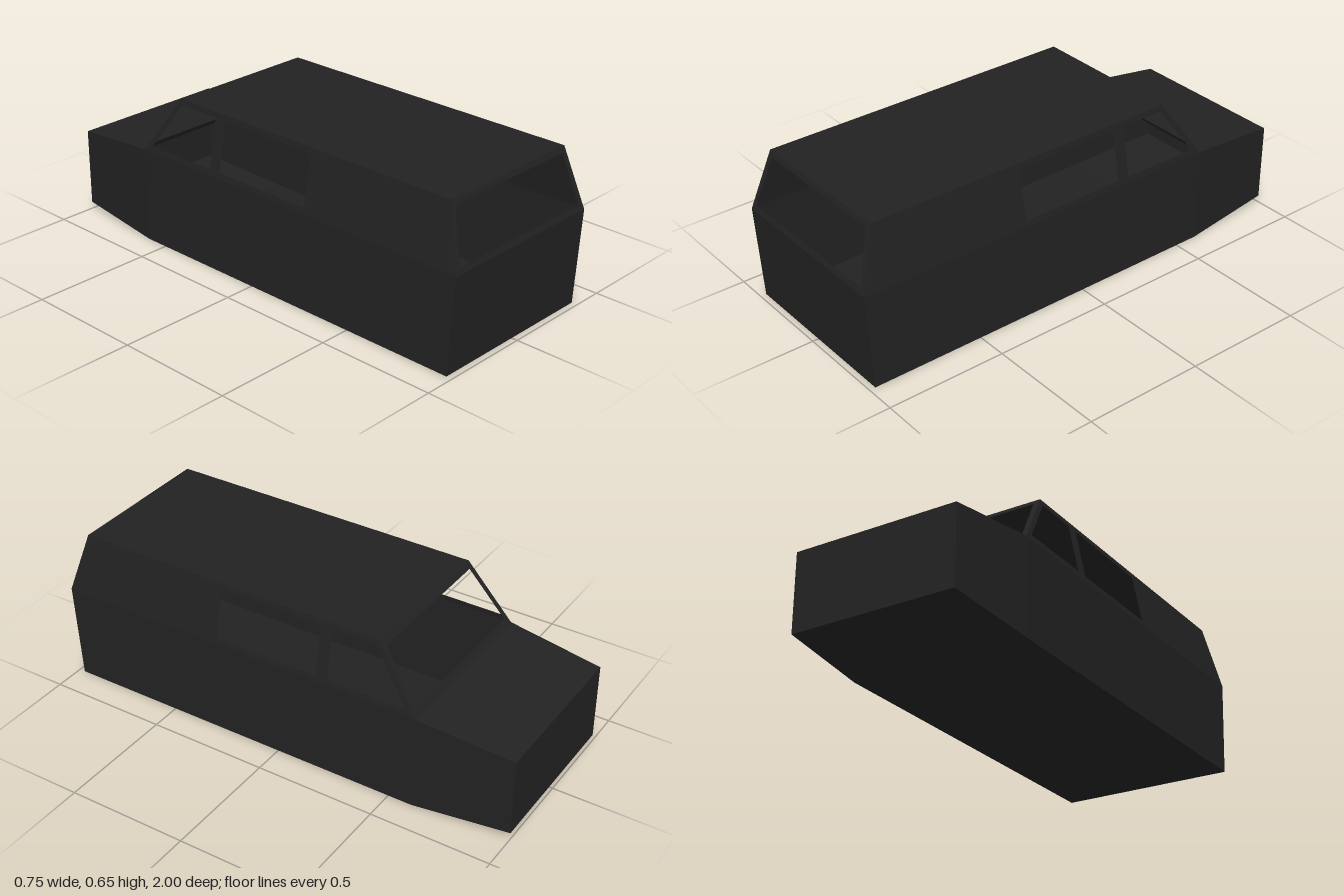
import * as THREE from 'three';

const paint = new THREE.MeshStandardMaterial({ color: 0x222222, side: THREE.DoubleSide });
paint.name = 'blackPaint';

const W = 0.373, ROOF_W = 0.324, NOSE_W = 0.345; // half widths
const BELT = 0.4, TOP = 0.65;                    // heights
const REAR = 1, REAR_LOW = 0.975, REAR_TOP = 0.927, COWL = -0.6, COWL_TOP = -0.425, NOSE = -1;

// value running from a at the belt line to b at the roof
const lean = (a, b, y) => a + (b - a) * (y - BELT) / (TOP - BELT);
const points = (list) => list.map(([x, y]) => new THREE.Vector2(x, y));

function addMesh(group, name, geometry) {
  const mesh = new THREE.Mesh(geometry, paint);
  mesh.name = name;
  group.add(mesh);
}

// four-cornered sheet, corners anticlockwise from outside
function quad(a, b, c, d) {
  const g = new THREE.BufferGeometry();
  g.setAttribute('position', new THREE.Float32BufferAttribute([a, b, c, a, c, d].flat(), 3));
  g.computeVertexNormals();
  return g;
}

// flat outline with window holes, laid onto a leaning plane by place(u, y)
function windowPanel(outline, holes, place) {
  const shape = new THREE.Shape(points(outline));
  holes.forEach((h) => shape.holes.push(new THREE.Path(points(h))));
  const g = new THREE.ShapeGeometry(shape).toNonIndexed();
  const p = g.attributes.position;
  for (let i = 0; i < p.count; i++) p.setXYZ(i, ...place(p.getX(i), p.getY(i)));
  g.computeVertexNormals();
  return g;
}

export function createModel() {
  const model = new THREE.Group();
  model.name = 'vanBody';

  // Roof, floor, hood and flat end panels
  addMesh(model, 'roof', quad([-ROOF_W, TOP, REAR_TOP], [ROOF_W, TOP, REAR_TOP], [ROOF_W, TOP, COWL_TOP], [-ROOF_W, TOP, COWL_TOP]));
  addMesh(model, 'floor', quad([-W, 0, COWL], [W, 0, COWL], [W, 0, REAR_LOW], [-W, 0, REAR_LOW]));
  addMesh(model, 'noseUnderside', quad([-NOSE_W, 0.03, NOSE], [NOSE_W, 0.03, NOSE], [W, 0, COWL], [-W, 0, COWL]));
  addMesh(model, 'hood', quad([-W, BELT, COWL], [W, BELT, COWL], [NOSE_W, 0.355, NOSE], [-NOSE_W, 0.355, NOSE]));
  addMesh(model, 'nosePanel', quad([NOSE_W, 0.03, NOSE], [-NOSE_W, 0.03, NOSE], [-NOSE_W, 0.355, NOSE], [NOSE_W, 0.355, NOSE]));
  addMesh(model, 'tailPanel', quad([-W, 0, REAR_LOW], [W, 0, REAR_LOW], [W, BELT, REAR], [-W, BELT, REAR]));

  // Window frames at both ends
  const endOutline = [[-W, BELT], [W, BELT], [ROOF_W, TOP], [-ROOF_W, TOP]];
  const endHole = [[-0.345, 0.424], [0.345, 0.424], [0.305, 0.627], [-0.305, 0.627]];
  addMesh(model, 'tailWindowFrame', windowPanel(endOutline, [endHole], (x, y) => [x, y, lean(REAR, REAR_TOP, y)]));
  addMesh(model, 'windshieldFrame', windowPanel(endOutline, [endHole], (x, y) => [-x, y, lean(COWL, COWL_TOP, y)]));

  // Sides: lower panel, nose panel and upper panel with two windows
  const sideOutline = [[-REAR, BELT], [-COWL, BELT], [-COWL_TOP, TOP], [-REAR_TOP, TOP]];
  const sideHoles = [
    [[-0.278, 0.424], [0.172, 0.424], [0.172, 0.627], [-0.278, 0.627]],
    [[0.225, 0.424], [0.557, 0.424], [0.413, 0.627], [0.225, 0.627]],
  ];
  for (const [side, s] of [['left', 1], ['right', -1]]) {
    const sheet = (...c) => quad(...(s > 0 ? c : c.map(([x, y, z]) => [-x, y, z]).reverse()));
    addMesh(model, side + 'LowerSide', sheet([W, 0, REAR_LOW], [W, 0, COWL], [W, BELT, COWL], [W, BELT, REAR]));
    addMesh(model, side + 'NoseSide', sheet([W, 0, COWL], [NOSE_W, 0.03, NOSE], [NOSE_W, 0.355, NOSE], [W, BELT, COWL]));
    // the right side is drawn reversed so that it also faces outward
    const flip = (list) => list.map(([u, y]) => [s * u, y]);
    addMesh(model, side + 'WindowSide', windowPanel(flip(sideOutline), sideHoles.map(flip),
      (u, y) => [s * lean(W, ROOF_W, y), y, -s * u]));
  }
  return model;
}
